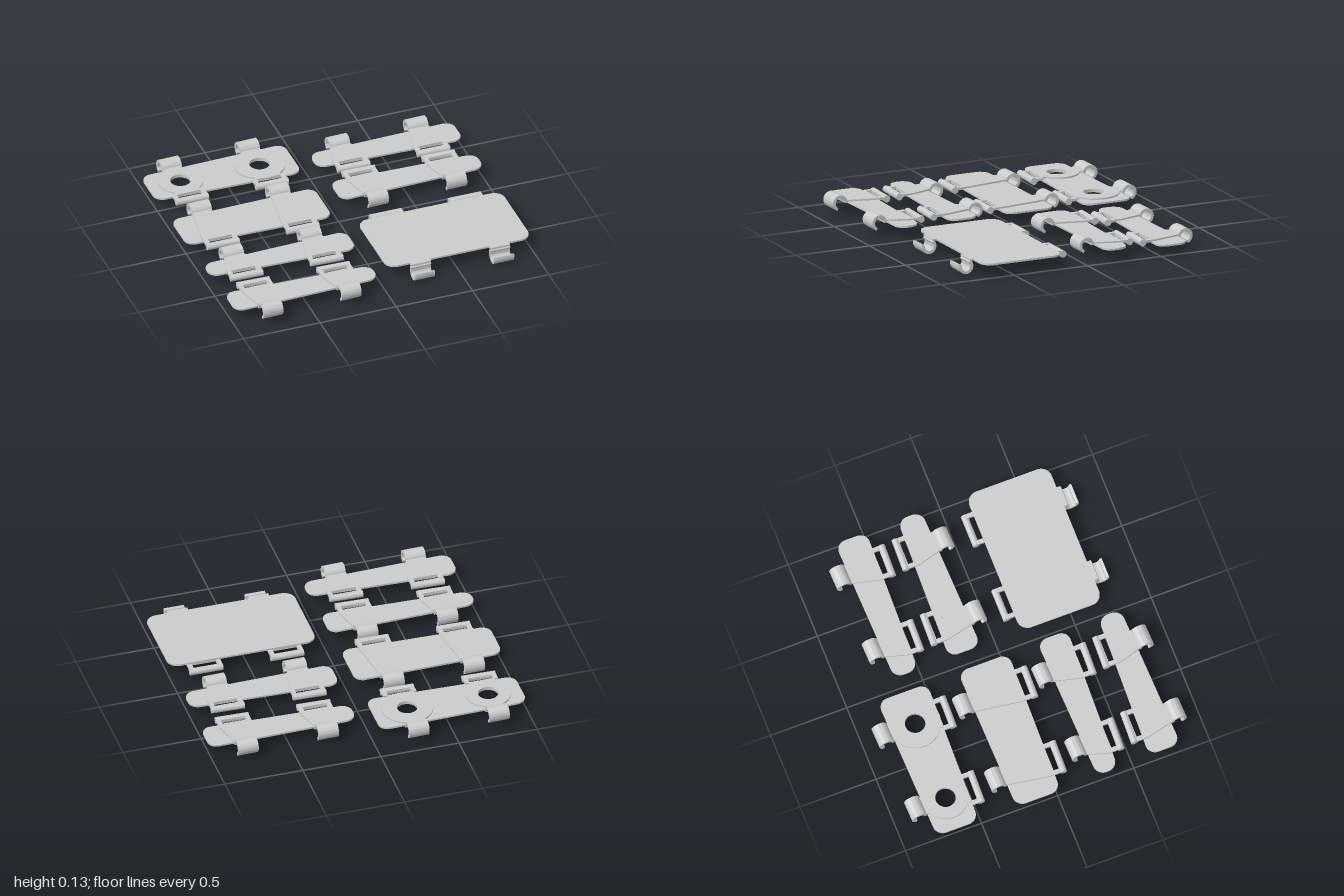
import * as THREE from 'three';
import { toCreasedNormals } from 'three/addons/utils/BufferGeometryUtils.js';

const mat = new THREE.MeshStandardMaterial({ color: 0xcccccc });
const LEN = 0.945, THICK = 0.012, CLIPS = [0.21, 0.728], HOOK_W = 0.13;

function add(parent, name, geo, x = 0, y = 0, z = 0) {
  const m = new THREE.Mesh(geo, mat);
  m.name = name;
  m.position.set(x, y, z);
  parent.add(m);
  return m;
}

// Outline in x/z, extruded upwards from y = 0
function slab(shape, height) {
  const g = new THREE.ExtrudeGeometry(shape, { depth: height, bevelEnabled: false, curveSegments: 24 });
  g.rotateX(Math.PI / 2).translate(0, height, 0);
  return toCreasedNormals(g, 0.6);
}

const polygon = pts => new THREE.Shape(pts.map(p => new THREE.Vector2(...p)));

function circleHole(shape, x, z, r) {
  shape.holes.push(new THREE.Path().absarc(x, z, r, 0, Math.PI * 2, true));
}

// Polygon with rounded corners
function rounded(pts, r) {
  const s = new THREE.Shape(), v = pts.map(p => new THREE.Vector2(...p)), n = v.length;
  const toward = (a, b) => b.clone().sub(a).setLength(r).add(a);
  v.forEach((p, i) => {
    const a = toward(p, v[(i + n - 1) % n]), b = toward(p, v[(i + 1) % n]);
    if (i) s.lineTo(a.x, a.y); else s.moveTo(a.x, a.y);
    const k = 0.45;
    const c1 = a.clone().lerp(p, 1 - k), c2 = b.clone().lerp(p, 1 - k);
    s.bezierCurveTo(c1.x, c1.y, c2.x, c2.y, b.x, b.y);
  });
  s.closePath();
  return s;
}

// Tapered plate with optional holes
function plateGeo(hL, hR, r, hole) {
  const s = rounded([[0, -hL], [LEN, -hR], [LEN, hR], [0, hL]], r);
  if (hole) CLIPS.forEach(x => circleHole(s, x, 0, hole));
  return slab(s, THICK);
}

// C-shaped hook: a ring sector in the outward/up plane, pointing along +z
function hookGeo(from, to, R = 0.05, t = 0.018) {
  const s = new THREE.Shape();
  s.absarc(0, 0, R, from, to, from > to);
  s.absarc(0, 0, R - t, to, from, from < to);
  s.closePath();
  const g = new THREE.ExtrudeGeometry(s, { depth: HOOK_W, bevelEnabled: false, curveSegments: 24 });
  g.translate(0, 0, -HOOK_W / 2).rotateY(-Math.PI / 2);
  return toCreasedNormals(g, 0.6);
}

const barGeo = new THREE.CylinderGeometry(0.022, 0.022, 0.21, 16).rotateZ(Math.PI / 2);
const hookDown = hookGeo(Math.PI * 1.02, -Math.PI * 0.36);
const hookUp = hookGeo(Math.PI * 0.72, Math.PI * 2.1, 0.048);

// Strap with a hook at -z and a loop at +z; h is half the plate's depth there
function clip(h, slope, disc) {
  const g = new THREE.Group();
  g.name = 'clip';
  const a = Math.atan(slope);
  const w = 0.105, e = h + 0.058;
  const body = disc
    ? [[-0.075, 0.1], [0.075, 0.1], [0.085, h - 0.005], [w, h - 0.005], [w, e], [-w, e], [-w, h - 0.005], [-0.085, h - 0.005]]
    : [[-0.06, -h - 0.02], [0.06, -h - 0.02], [w, h - 0.03], [w, e], [-w, e], [-w, h - 0.03]];
  const strap = polygon(body);
  // opening of the loop
  strap.holes.push(new THREE.Path([[-0.077, h], [-0.077, h + 0.037], [0.077, h + 0.037], [0.077, h]]
    .map(p => new THREE.Vector2(...p))));
  add(g, 'strap', slab(strap, 0.016));
  if (disc) {
    const ring = new THREE.Shape().absarc(0, 0, disc, 0, Math.PI * 2);
    circleHole(ring, 0, 0, 0.063);
    add(g, 'ringPad', slab(ring, 0.0155));
    add(g, 'hookTab', new THREE.BoxGeometry(0.12, 0.015, h - 0.08), 0, 0.0075, -(h + 0.12) / 2);
  }
  add(g, 'loopBar', barGeo, 0, 0.002, e).rotation.y = -a;
  add(g, 'hook', hookDown, 0, 0, -h - 0.053).rotation.y = Math.PI + a;
  return g;
}

// x: left end, y: height, z: centre line, hL/hR: half depths, dir: side of the loops
const LINKS = [
  { x: -1.0, y: 0.066, z: -0.656, hL: 0.137, hR: 0.163, dir: 1, discs: [0.14, 0.16] },
  { x: -1.0, y: 0.074, z: -0.125, hL: 0.145, hR: 0.166, dir: 1 },
  { x: -0.99, y: 0.08, z: 0.332, hL: 0.068, hR: 0.1, dir: 1 },
  { x: -0.98, y: 0.08, z: 0.711, hL: 0.103, hR: 0.073, dir: -1 },
  { x: 0.055, y: 0.064, z: -0.588, hL: 0.077, hR: 0.102, dir: 1 },
  { x: 0.055, y: 0.083, z: -0.203, hL: 0.104, hR: 0.078, dir: -1 },
];

function link({ x, y, z, hL, hR, dir, discs }) {
  const g = new THREE.Group();
  g.name = 'link';
  g.position.set(x, y, z);
  add(g, 'linkPlate', plateGeo(hL, hR, 0.062, discs && 0.063), 0, -THICK / 2);
  CLIPS.forEach((cx, i) => {
    const h = hL + (hR - hL) * cx / LEN;
    const c = clip(h, dir * (hR - hL) / LEN, discs && discs[i]);
    c.position.x = cx;
    if (dir < 0) c.rotation.y = Math.PI;
    g.add(c);
  });
  return g;
}

// Large plate with upturned hooks in front and low loops behind
function panel() {
  const g = new THREE.Group(), h = 0.27;
  g.name = 'panel';
  g.position.set(0.055, 0.086, 0.435);
  add(g, 'panelPlate', plateGeo(h, h, 0.07), 0, -THICK / 2);
  for (const cx of CLIPS) {
    add(g, 'panelHook', hookUp, cx, -0.038, h + 0.049);
    add(g, 'panelHookTab', new THREE.BoxGeometry(HOOK_W, THICK, 0.04), cx, 0, h + 0.005);
    add(g, 'panelLoopBar', barGeo, cx, -0.026, -h - 0.052);
    add(g, 'panelLoopRim', new THREE.BoxGeometry(0.21, 0.016, 0.03), cx, -0.012, -h + 0.017);
    for (const s of [-1, 1])
      add(g, 'panelLoopArm', new THREE.BoxGeometry(0.027, 0.02, 0.085), cx + s * 0.0915, -0.014, -h - 0.015);
  }
  return g;
}

export function createModel() {
  const model = new THREE.Group();
  model.name = 'strapLinks';
  LINKS.forEach(l => model.add(link(l)));
  model.add(panel());
  return model;
}
